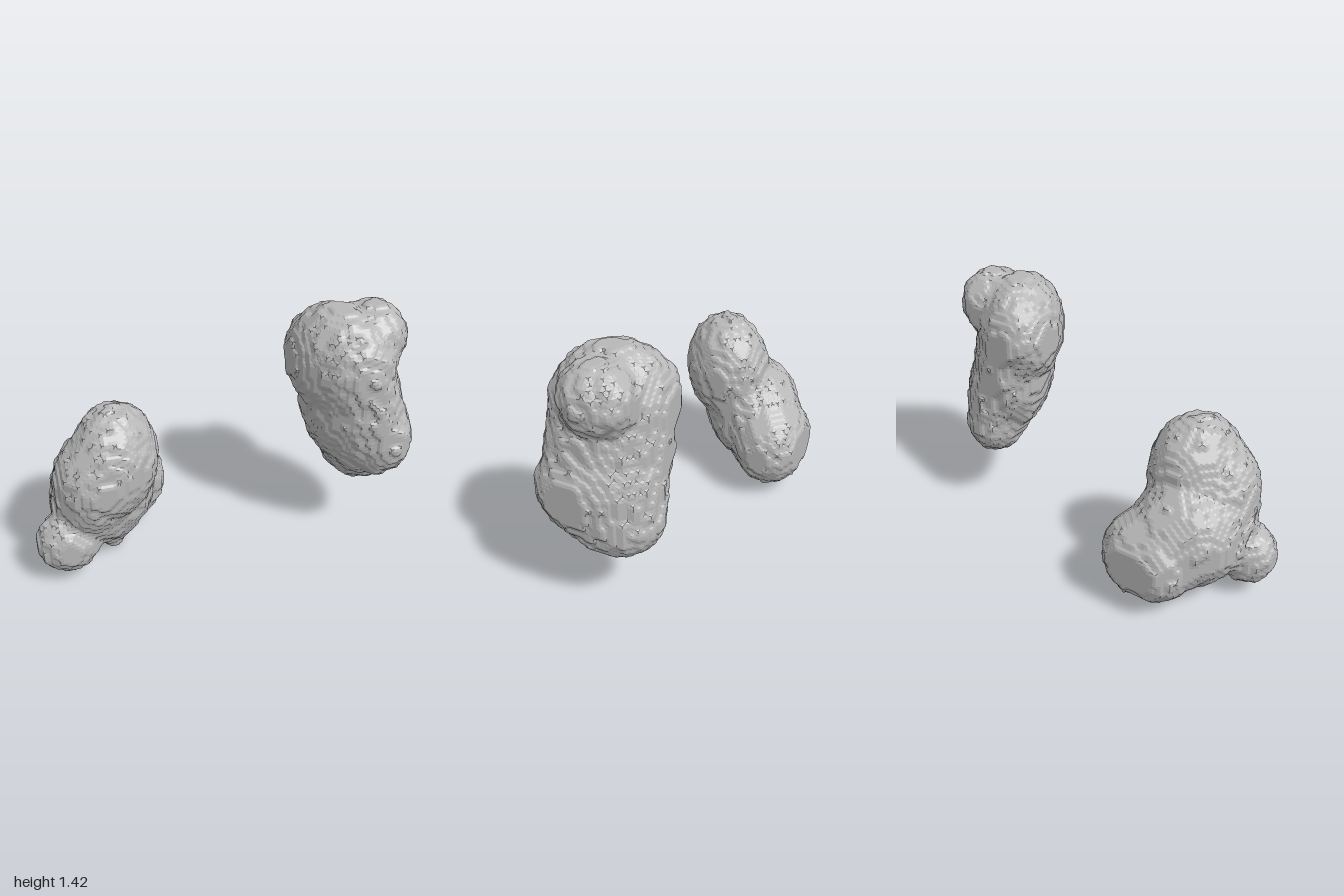
import * as THREE from 'three';

const STEP = 0.02; // voxel size of the terraced surface

// Lobes as [x, y, z, radiusX, radiusY, radiusZ, yaw in degrees]
const lowBlob = [
  [-0.54, 0.69, 0.05, 0.22, 0.315, 0.255, -35],   // upper body
  [-0.65, 0.62, 0.09, 0.215, 0.24, 0.215, 0],     // front swelling
  [-0.685, 0.50, 0.06, 0.19, 0.22, 0.20, 0],      // lower front swelling
  [-0.60, 0.41, -0.09, 0.265, 0.31, 0.305, -45],  // lower body
  [-0.42, 0.31, -0.27, 0.195, 0.24, 0.20, 0],     // back lobe
  [-0.54, 0.30, -0.27, 0.185, 0.225, 0.195, 0],   // back lobe, inner half
  [-0.825, 0.25, 0.115, 0.17, 0.175, 0.14, 0],    // side bump
  [-0.56, 0.13, -0.08, 0.09, 0.12, 0.09, 0],      // foot nub
];
const highBlob = [
  [0.63, 1.14, 0.11, 0.225, 0.295, 0.305, 30],   // upper body
  [0.705, 0.90, 0.115, 0.215, 0.38, 0.305, 25],  // middle
  [0.795, 0.72, 0.12, 0.187, 0.28, 0.31, 22],    // lower body
  [0.785, 0.56, 0.035, 0.17, 0.205, 0.225, 22],  // lower tip
  [0.825, 1.25, 0.09, 0.155, 0.18, 0.185, 15],   // top side lobe
];

// Smoothly blended distance to a set of lobes, slightly roughened
function field(lobes, p) {
  const k = 0.016;
  let sum = 0;
  for (const [x, y, z, a, b, c, yaw] of lobes) {
    const s = Math.sin(yaw * Math.PI / 180), t = Math.cos(yaw * Math.PI / 180);
    const dx = p[0] - x, dz = p[2] - z;
    const d = (Math.hypot((dx * t - dz * s) / a, (p[1] - y) / b, (dx * s + dz * t) / c) - 1) * Math.min(a, b, c);
    sum += Math.exp(-d / k);
  }
  const rough = Math.sin(p[0] * 31 + p[1] * 17) * Math.sin(p[1] * 29 - p[2] * 23) * Math.sin(p[2] * 37 + p[0] * 13);
  return -k * Math.log(sum + 1e-300) + 0.007 * rough;
}

// Bevelled voxel skin around the lobes (surface nets on a filled / empty grid)
function voxelSkin(lobes) {
  const reach = l => Math.max(l[3], l[4], l[5]);
  const lo = [0, 1, 2].map(a => Math.floor(Math.min(...lobes.map(l => l[a] - reach(l))) / STEP) - 4);
  const hi = [0, 1, 2].map(a => Math.ceil(Math.max(...lobes.map(l => l[a] + reach(l))) / STEP) + 4);
  const n = hi.map((h, a) => h - lo[a] + 1);
  const stride = [1, n[0], n[0] * n[1]];
  const at = (i, j, k) => i + j * stride[1] + k * stride[2];
  const filled = new Uint8Array(n[0] * n[1] * n[2]);
  const each = fn => {
    for (let k = 1; k < n[2] - 1; k++)
      for (let j = 1; j < n[1] - 1; j++)
        for (let i = 1; i < n[0] - 1; i++) fn([i, j, k], at(i, j, k));
  };
  each((c, id) => {
    const p = c.map((v, a) => (v + lo[a]) * STEP);
    // the blobs are cut flat at the sides, the ground and the back
    const within = p[1] > 0.01 && Math.abs(p[0]) < 0.995 && p[2] > -0.445;
    filled[id] = within && field(lobes, p) < 0 ? 1 : 0;
  });

  // One vertex per cell, at the mean of its crossed edges
  const positions = [], vertexOf = new Map();
  const cellVertex = id => {
    if (vertexOf.has(id)) return vertexOf.get(id);
    const base = [id % n[0], Math.floor(id / n[0]) % n[1], Math.floor(id / stride[2])];
    const sum = [0, 0, 0];
    let count = 0;
    for (let a = 0; a < 3; a++) {
      const u = (a + 1) % 3, v = (a + 2) % 3;
      for (let du = 0; du < 2; du++)
        for (let dv = 0; dv < 2; dv++) {
          const e = id + du * stride[u] + dv * stride[v];
          if (filled[e] === filled[e + stride[a]]) continue;
          sum[a] += 0.5;
          sum[u] += du;
          sum[v] += dv;
          count++;
        }
    }
    for (let a = 0; a < 3; a++) positions.push((base[a] + lo[a] + sum[a] / count) * STEP);
    vertexOf.set(id, vertexOf.size);
    return vertexOf.size - 1;
  };

  // One quad around every crossed grid edge
  const index = [];
  each((c, id) => {
    for (let a = 0; a < 3; a++) {
      if (filled[id] === filled[id + stride[a]]) continue;
      const u = stride[(a + 1) % 3], v = stride[(a + 2) % 3];
      const q = [id - u - v, id - v, id, id - u].map(cellVertex);
      if (!filled[id]) q.reverse();
      index.push(q[0], q[1], q[2], q[0], q[2], q[3]);
    }
  });

  const indexed = new THREE.BufferGeometry();
  indexed.setAttribute('position', new THREE.Float32BufferAttribute(positions, 3));
  indexed.setIndex(index);
  const geometry = indexed.toNonIndexed(); // separate faces give hard facets
  geometry.computeVertexNormals();
  return geometry;
}

export function createModel() {
  const group = new THREE.Group();
  const grey = new THREE.MeshStandardMaterial({ color: 0xb8b8b8 });
  grey.name = 'stoneGrey';
  for (const [name, lobes] of [['lowBlob', lowBlob], ['highBlob', highBlob]]) {
    const mesh = new THREE.Mesh(voxelSkin(lobes), grey);
    mesh.name = name;
    group.add(mesh);
  }
  return group;
}
